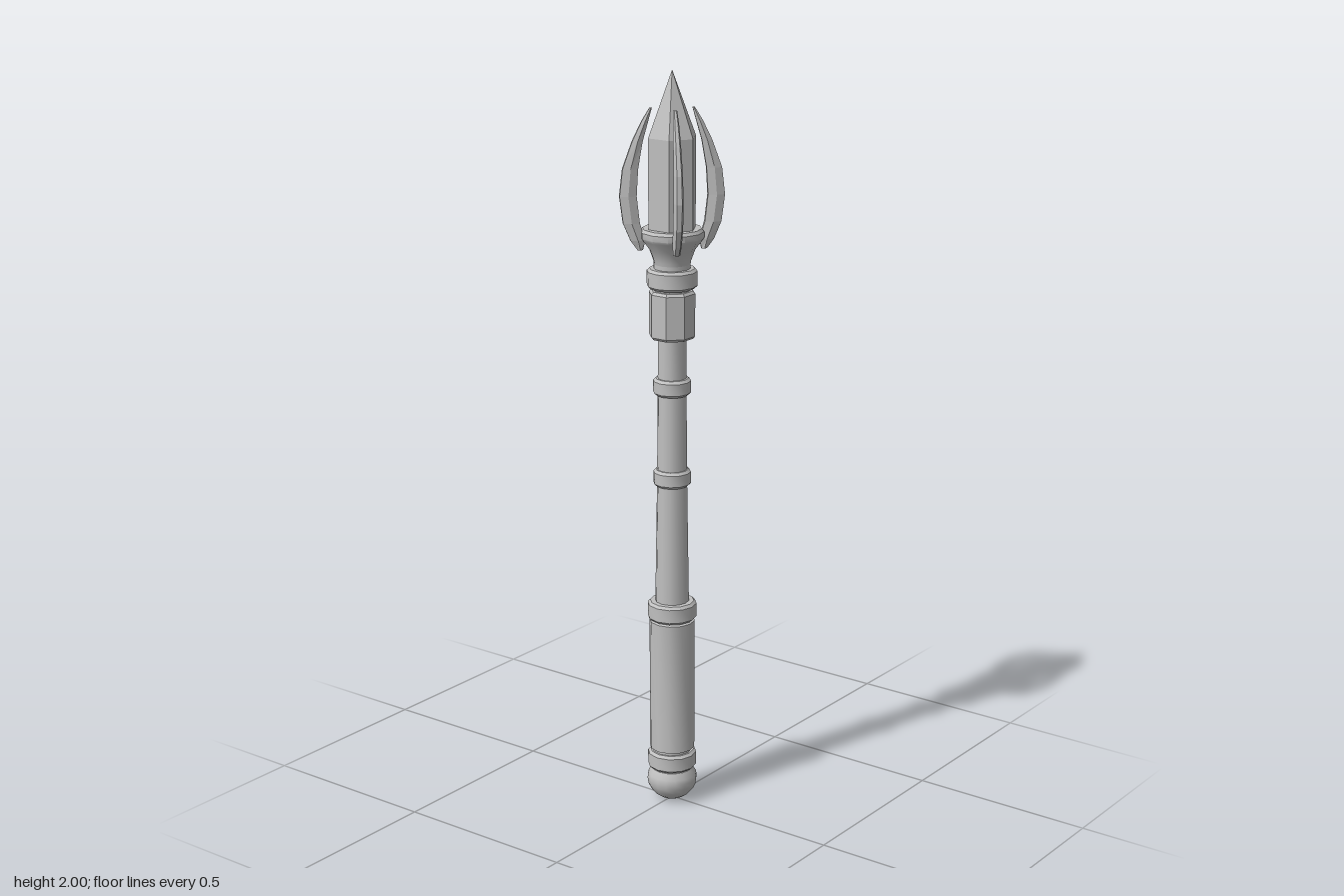
import * as THREE from 'three';
import { toCreasedNormals } from 'three/addons/utils/BufferGeometryUtils.js';

const grey = new THREE.MeshStandardMaterial({ color: 0xc0c0c0 });
grey.name = 'grey metal';

function part(name, geometry, crease = 0.01) {
  const mesh = new THREE.Mesh(toCreasedNormals(geometry, crease), grey);
  mesh.name = name;
  return mesh;
}

// Turned part from [radius, height] pairs, bottom to top
function turned(name, profile, sides = 12) {
  const points = profile.map(([r, y]) => new THREE.Vector2(r, y));
  return part(name, new THREE.LatheGeometry(points, sides), 0.56);
}

// Closed collar with bevelled edges
function ring(name, y0, y1, r, inner, bevel = 0.007) {
  return turned(name, [[inner, y0], [r - bevel, y0], [r, y0 + bevel],
    [r, y1 - bevel], [r - bevel, y1], [inner, y1]]);
}

// Curved prong lofted from bevelled sections: [height, inner radius, outer radius, half thickness]
function prongGeometry() {
  const stations = [
    [1.54, 0.076, 0.090, 0.009],
    [1.565, 0.070, 0.108, 0.012],
    [1.61, 0.084, 0.127, 0.013],
    [1.68, 0.092, 0.136, 0.013],
    [1.75, 0.088, 0.128, 0.012],
    [1.82, 0.076, 0.103, 0.010],
    [1.87, 0.062, 0.079, 0.008],
    [1.905, 0.052, 0.058, 0.005],
  ];
  const positions = [], index = [];
  for (const [y, a, b, t] of stations) {
    const m = (a + b) / 2, h = t * 0.5;
    for (const [x, z] of [[b, h], [b, -h], [m, -t], [a, -h], [a, h], [m, t]]) positions.push(x, y, z);
  }
  const last = (stations.length - 1) * 6;
  for (let s = 0; s < last; s += 6) {
    for (let i = 0; i < 6; i++) {
      const p = s + i, q = s + (i + 1) % 6;
      index.push(p, q, q + 6, p, q + 6, p + 6);
    }
  }
  for (let i = 1; i < 5; i++) {
    index.push(0, i + 1, i, last, last + i, last + i + 1);
  }
  const geometry = new THREE.BufferGeometry();
  geometry.setAttribute('position', new THREE.Float32BufferAttribute(positions, 3));
  geometry.setIndex(index);
  return geometry;
}

export function createModel() {
  const model = new THREE.Group();
  model.name = 'sceptre';

  // Handle: rounded pommel, grip and collars
  const dome = [];
  for (let i = 0; i <= 6; i++) {
    const a = (i / 6) * Math.PI / 2;
    dome.push([0.068 * Math.sin(a), 0.062 - 0.062 * Math.cos(a)]);
  }
  model.add(turned('pommel', [...dome, [0.066, 0.075], [0.056, 0.092], [0, 0.092]], 16));
  model.add(turned('pommelNeck', [[0.054, 0.085], [0.054, 0.16]]));
  model.add(ring('pommelCollar', 0.095, 0.145, 0.066, 0.05));
  model.add(turned('grip', [[0.05, 0.15], [0.061, 0.154], [0.061, 0.522], [0.05, 0.527]]));
  model.add(ring('gripCollar', 0.527, 0.578, 0.066, 0.04));

  // Shaft, tapering upward, with two bands
  model.add(turned('shaft', [[0.046, 0.5], [0.045, 0.6], [0.040, 0.92], [0.038, 1.17], [0.037, 1.32]]));
  model.add(ring('lowerBand', 0.903, 0.948, 0.05, 0.035));
  model.add(ring('upperBand', 1.152, 1.197, 0.05, 0.035));

  // Eight-sided block below the head
  const r = 0.057 / Math.cos(Math.PI / 8);
  const block = new THREE.LatheGeometry(
    [[0, 1.305], [r - 0.006, 1.305], [r, 1.312], [r, 1.425], [r - 0.006, 1.432], [0, 1.432]]
      .map(([x, y]) => new THREE.Vector2(x, y)), 8);
  block.rotateY(Math.PI / 8);
  model.add(part('block', block));
  model.add(turned('headNeck', [[0.048, 1.425], [0.048, 1.51]]));
  model.add(ring('headCollar', 1.438, 1.49, 0.066, 0.04));

  // Flared cup holding the crystal
  model.add(turned('cup', [[0.046, 1.485], [0.049, 1.51], [0.060, 1.54], [0.079, 1.565],
    [0.083, 1.572], [0.083, 1.587], [0.077, 1.595], [0, 1.595]]));

  // Six-sided crystal with a pointed top
  const crystal = new THREE.LatheGeometry(
    [[0.066, 1.58], [0.066, 1.83], [0, 2]].map(([x, y]) => new THREE.Vector2(x, y)), 6);
  crystal.rotateY(Math.PI / 6);
  model.add(part('crystal', crystal));

  // Four prongs on the diagonals
  const prong = prongGeometry();
  for (let i = 0; i < 4; i++) {
    const mesh = part('prong', prong);
    mesh.rotation.y = Math.PI / 4 + i * Math.PI / 2;
    model.add(mesh);
  }
  return model;
}
